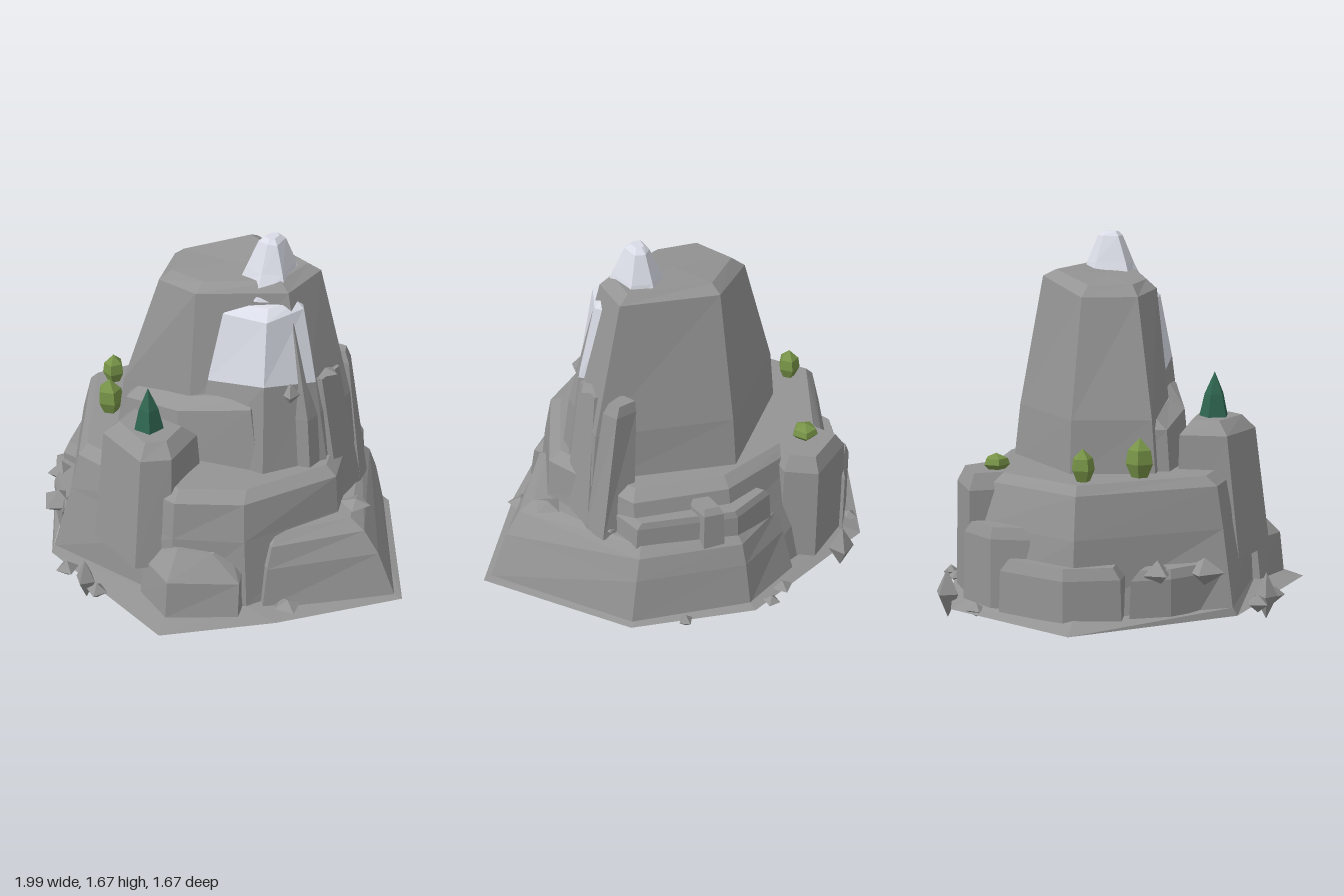
import * as THREE from 'three';

const mat = (name, color, side = THREE.FrontSide) => {
  const m = new THREE.MeshStandardMaterial({ color, side, flatShading: true });
  m.name = name;
  return m;
};

// Flat-shaded loft through rings of equal length. A ring is [y, [[x, z, dy?], ...]],
// its corners running front-left, front-right, back-right, back-left.
function loft(rings, top = true, bottom = false) {
  const P = rings.map(([y, pts]) => pts.map(([x, z, dy = 0]) => [x, y + dy, z]));
  const n = P[0].length, v = [];
  const tri = (a, b, c) => v.push(...a, ...b, ...c);
  for (let r = 0; r + 1 < P.length; r++) for (let i = 0; i < n; i++) {
    const j = (i + 1) % n, a = P[r][i], b = P[r][j], c = P[r + 1][j], d = P[r + 1][i];
    tri(a, b, c);
    tri(a, c, d);
  }
  const mid = (p) => [0, 1, 2].map((k) => p.reduce((s, q) => s + q[k], 0) / n);
  const cap = (p, up) => {
    const m = mid(p);
    p.forEach((a, i) => (up ? tri(m, a, p[(i + 1) % n]) : tri(m, p[(i + 1) % n], a)));
  };
  if (top) cap(P[P.length - 1], true);
  if (bottom) cap(P[0], false);
  const g = new THREE.BufferGeometry();
  g.setAttribute('position', new THREE.Float32BufferAttribute(v, 3));
  g.computeVertexNormals();
  return g;
}

export function createModel() {
  const root = new THREE.Group();
  root.name = 'rockyMountain';
  const stone = mat('stone', 0x949494, THREE.DoubleSide);
  const snow = mat('snow', 0xd9dce6);
  const leaf = mat('leafGreen', 0x789448);
  const pine = mat('pineGreen', 0x2f6650);
  const add = (name, geo, m = stone) => {
    const mesh = new THREE.Mesh(geo, m);
    mesh.name = name;
    root.add(mesh);
    return mesh;
  };
  // Rock from one outline, given levels of [y, scale about the centre]
  const rock = (name, pts, levels, m = stone) => {
    const cx = pts.reduce((s, p) => s + p[0], 0) / pts.length;
    const cz = pts.reduce((s, p) => s + p[1], 0) / pts.length;
    return add(name, loft(levels.map(([y, s]) => [y, pts.map(([x, z]) => [cx + (x - cx) * s, cz + (z - cz) * s])])), m);
  };

  // Thin skirt around the foot
  const foot = [[-0.58, 0.55], [0.1, 0.62], [0.42, 0.5], [0.7, 0.05], [0.5, -0.54], [0.1, -0.72], [-0.56, -0.6], [-0.86, -0.1]];
  add('skirt', loft([
    [0.09, [[-0.58, 0.57], [0.16, 0.83], [0.57, 0.5], [0.99, 0.07], [0.62, -0.58], [0.1, -0.81], [-0.63, -0.67], [-1, -0.1]]],
    [0.125, foot],
  ], false));

  // Main lower tier, open underneath
  add('baseTier', loft([
    [0.12, foot],
    [0.45, [[-0.5, 0.5], [0.1, 0.6], [0.39, 0.47], [0.64, 0.05], [0.5, -0.46], [0.1, -0.62], [-0.53, -0.55], [-0.82, -0.1]]],
    [0.63, [[-0.47, 0.47], [0.1, 0.58], [0.37, 0.44], [0.625, 0.05], [0.49, -0.42], [0.09, -0.58], [-0.5, -0.5], [-0.77, -0.1]]],
    [0.67, [[-0.45, 0.42], [0.09, 0.52], [0.35, 0.38], [0.57, 0.04], [0.45, -0.38], [0.08, -0.53], [-0.48, -0.46], [-0.73, -0.1]]],
  ]));

  // Lower ledge wrapping the right and back
  add('lowerLedge', loft([
    [0.1, [[0.48, 0.46], [0.95, 0.07], [0.6, -0.56], [0.1, -0.77], [-0.2, -0.7], [0, 0]]],
    [0.3, [[0.48, 0.42], [0.86, 0.07], [0.56, -0.54], [0.1, -0.73], [-0.18, -0.64], [0, 0]]],
    [0.4, [[0.48, 0.38], [0.785, 0.07], [0.53, -0.52], [0.1, -0.7], [-0.17, -0.6], [0, 0]]],
    [0.44, [[0.47, 0.32], [0.71, 0.06], [0.5, -0.49], [0.1, -0.66], [-0.16, -0.56], [0, 0]]],
  ]));
  // Step blocks against the back
  rock('backStep', [[0.0, -0.4], [0.54, -0.3], [0.52, -0.48], [0.1, -0.67], [-0.12, -0.62]], [[0.4, 1], [0.53, 0.97], [0.56, 0.9]]);
  rock('backStepSmall', [[0.16, -0.5], [0.26, -0.5], [0.26, -0.63], [0.17, -0.66]], [[0.4, 1], [0.58, 0.95], [0.61, 0.7]]);

  // Main tower with bevelled, tilted top
  add('tower', loft([
    [0.64, [[-0.43, 0.2], [-0.03, 0.24], [0.52, 0.1], [0.58, -0.23], [-0.01, -0.5], [-0.48, -0.17]]],
    [0.9, [[-0.4, 0.18], [-0.03, 0.22], [0.49, 0.08], [0.55, -0.225], [-0.01, -0.47], [-0.455, -0.165]]],
    [1.44, [[-0.25, 0.1, -0.02], [-0.03, 0.16], [0.35, 0.02, 0.04], [0.395, -0.2, 0.06], [-0.01, -0.36, 0.05], [-0.31, -0.14, -0.02]]],
    [1.5, [[-0.2, 0.07, -0.03], [-0.02, 0.11, -0.02], [0.3, 0, 0.02], [0.34, -0.18, 0.03], [-0.01, -0.3, 0.02], [-0.25, -0.12, -0.03]]],
  ]));

  // Sloping shelf at the front of the tower
  add('frontShelf', loft([
    [0.6, [[-0.38, 0.26], [-0.05, 0.32], [0.34, 0.24], [0.34, 0], [-0.42, 0]]],
    [0.9, [[-0.35, 0.24, -0.05], [-0.05, 0.29], [0.28, 0.22, 0.07], [0.28, 0, 0.07], [-0.4, 0, -0.04]]],
    [0.94, [[-0.31, 0.18, -0.04], [-0.05, 0.22], [0.25, 0.17, 0.07], [0.25, 0, 0.07], [-0.36, 0, -0.04]]],
  ]));

  // Front column with a snow cap
  const colMid = [[0.04, 0.18], [0.33, 0.195], [0.485, 0.0], [0.4, -0.12], [0.08, -0.05]];
  add('frontColumn', loft([
    [0.62, [[0.0, 0.25], [0.36, 0.25], [0.56, 0.0], [0.48, -0.15], [0.05, -0.05]]],
    [1.06, colMid.map(([x, z], i) => [x, z, [-0.03, 0.03, 0.0, 0, 0][i]])],
  ], false));
  add('columnSnow', loft([
    [1.06, colMid.map(([x, z], i) => [x, z, [-0.03, 0.03, 0.0, 0, 0][i]])],
    [1.36, [[0.09, 0.13], [0.31, 0.14, 0.02], [0.405, -0.02, 0.04], [0.36, -0.1, 0.04], [0.1, -0.05]]],
    [1.42, [[0.13, 0.08, -0.02], [0.29, 0.09], [0.37, -0.02, 0.01], [0.34, -0.08, 0.01], [0.13, -0.04]]],
  ]), snow);

  // Snowy summit
  add('summit', loft([
    [1.43, [[0.09, 0.03], [0.22, 0.08], [0.34, 0.02], [0.35, -0.15], [0.22, -0.23], [0.1, -0.16]]],
    [1.54, [[0.13, 0.0], [0.22, 0.025], [0.305, -0.01], [0.3, -0.15], [0.22, -0.19], [0.14, -0.14]]],
    [1.66, [[0.17, -0.04], [0.22, -0.025], [0.26, -0.04], [0.26, -0.12], [0.22, -0.14], [0.18, -0.11]]],
    [1.68, [[0.19, -0.055], [0.22, -0.045], [0.24, -0.055], [0.24, -0.1], [0.22, -0.11], [0.2, -0.1]]],
  ]), snow);

  // Fin leaning on the tower's right side
  add('sideFin', loft([
    [0.42, [[0.52, -0.2], [0.62, -0.23], [0.6, -0.34], [0.45, -0.36]]],
    [1.03, [[0.42, -0.23], [0.525, -0.25], [0.5, -0.32], [0.4, -0.32]]],
    [1.08, [[0.42, -0.24], [0.5, -0.26], [0.48, -0.31], [0.4, -0.31]]],
  ]));
  add('sidePanel', loft([
    [0.42, [[0.5, -0.02], [0.61, -0.04], [0.62, -0.24], [0.5, -0.26]]],
    [1.06, [[0.42, -0.03], [0.5, -0.03], [0.515, -0.17], [0.42, -0.2]]],
  ]));

  // Pillars against the lower tier
  add('frontPillar', loft([
    [0.28, [[-0.34, 0.56], [-0.05, 0.68], [0.08, 0.58], [0.1, 0.3], [-0.32, 0.28]]],
    [0.82, [[-0.31, 0.5], [-0.05, 0.61], [0.06, 0.53], [0.06, 0.31], [-0.3, 0.29]]],
    [0.88, [[-0.25, 0.46], [-0.06, 0.55], [0.01, 0.49], [0.01, 0.36], [-0.24, 0.34]]],
  ], true, true));
  rock('backPillar', [[-0.48, -0.38], [-0.24, -0.4], [-0.2, -0.6], [-0.32, -0.71], [-0.57, -0.6]], [[0.13, 1], [0.6, 0.94], [0.67, 0.72]]);

  // Boulders at the foot
  add('frontBoulder', loft([
    [0.12, [[-0.05, 0.64], [0.14, 0.74], [0.42, 0.58], [0.38, 0.4], [0, 0.4]]],
    [0.3, [[-0.04, 0.62], [0.14, 0.72], [0.41, 0.55, -0.02], [0.36, 0.4], [0, 0.4]]],
    [0.41, [[0.02, 0.56], [0.13, 0.61], [0.27, 0.54, -0.02], [0.27, 0.42], [0.04, 0.42]]],
  ]));
  rock('leftBoulder', [[-0.6, 0.12], [-0.6, -0.42], [-0.72, -0.44], [-0.88, -0.14], [-0.82, 0.1]], [[0.11, 1], [0.29, 0.98], [0.34, 0.85]]);
  rock('leftFrontBoulder', [[-0.56, 0.5], [-0.5, 0.2], [-0.8, 0.13], [-0.74, 0.3]], [[0.12, 1], [0.28, 0.96], [0.32, 0.75]]);
  rock('backLeftBoulder', [[-0.5, -0.4], [-0.55, -0.63], [-0.7, -0.48], [-0.7, -0.3]], [[0.12, 1], [0.42, 0.95], [0.47, 0.75]]);

  // Loose pebbles: x, y, z, radius, half height
  [
    [-0.32, 0.115, 0.68, 0.05, 0.105], [-0.44, 0.11, 0.65, 0.055, 0.04], [-0.24, 0.1, 0.71, 0.05, 0.04],
    [-0.47, 0.12, -0.72, 0.06, 0.11], [-0.66, 0.1, -0.55, 0.045, 0.03], [-0.09, 0.1, -0.76, 0.05, 0.03],
    [0.01, 0.1, -0.81, 0.04, 0.03], [0.4, 0.1, -0.69, 0.035, 0.03], [0.58, 0.13, 0.41, 0.065, 0.03],
    [0.69, 0.455, -0.03, 0.07, 0.025], [0.55, 0.46, -0.31, 0.05, 0.03], [0.41, 1.03, 0.1, 0.045, 0.055],
    [-0.62, 0.29, 0.43, 0.09, 0.06], [-0.73, 0.3, 0.24, 0.07, 0.06], [0.48, 1.06, -0.1, 0.06, 0.02],
  ].forEach(([x, y, z, r, h], i) => {
    const p = add('pebble', new THREE.OctahedronGeometry(1));
    p.position.set(x, y, z);
    p.scale.set(r, h, r);
    p.rotation.y = i * 0.9;
  });

  // Plants: lathed five-sided bushes and a pine
  const plant = (name, x, y, z, profile, m, turn) => {
    const g = new THREE.LatheGeometry(profile.map(([r, h]) => new THREE.Vector2(r, h)), 5);
    const p = add(name, g, m);
    p.position.set(x, y, z);
    p.rotation.y = turn;
  };
  const bush = (r, h) => [[r * 0.6, 0], [r, h * 0.35], [r * 0.85, h * 0.7], [0, h]];
  plant('bush', -0.63, 0.67, -0.09, bush(0.052, 0.14), leaf, 0.3);
  plant('bush', -0.505, 0.67, 0.14, bush(0.062, 0.17), leaf, 0.9);
  plant('bush', -0.39, 0.665, -0.51, bush(0.06, 0.075), leaf, 0.1);
  plant('pineTree', -0.115, 0.88, 0.43, [[0, 0], [0.068, 0], [0.045, 0.1], [0, 0.2]], pine, 0.6);
  return root;
}
